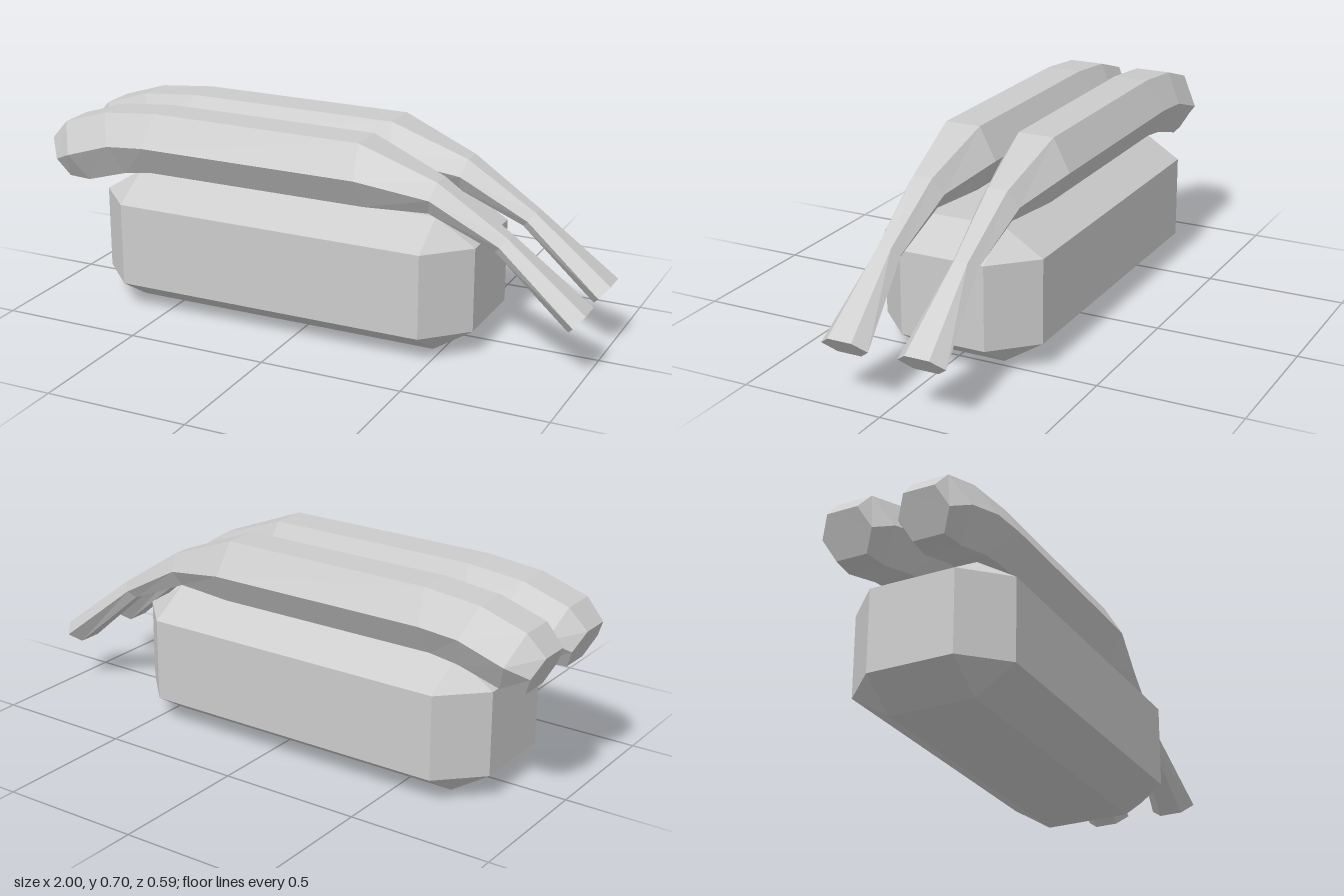
import * as THREE from 'three';
import { ConvexGeometry } from 'three/addons/geometries/ConvexGeometry.js';

const material = new THREE.MeshStandardMaterial({ color: 0xcccccc, flatShading: true });

// Block with every edge bevelled: hull of two small faces and a wide octagonal band
function bevelledBlock() {
  const points = [];
  const add = (x, y, z) => points.push(new THREE.Vector3(x, y, z), new THREE.Vector3(x, y, -z));
  for (const y of [0, 0.473]) for (const x of [-0.66, 0.47]) add(x, y, 0.153);
  for (const y of [0.09, 0.385]) {
    for (const x of [-0.66, 0.47]) add(x, y, 0.294);
    for (const x of [-0.8, 0.61]) add(x, y, 0.153);
  }
  return new ConvexGeometry(points);
}

// Stations along the strip: [top x, y], [middle x, y], [bottom x, y], ridge and middle half widths
const stations = [
  [[-1, 0.56], [-0.967, 0.493], [-0.935, 0.425], 0.055, 0.09],
  [[-0.935, 0.63], [-0.893, 0.527], [-0.848, 0.425], 0.064, 0.128],
  [[-0.77, 0.683], [-0.728, 0.58], [-0.695, 0.47], 0.064, 0.128],
  [[-0.565, 0.703], [-0.585, 0.592], [-0.59, 0.485], 0.064, 0.128],
  [[0.21, 0.703], [0.22, 0.592], [0.23, 0.485], 0.064, 0.128],
  [[0.48, 0.598], [0.465, 0.543], [0.45, 0.487], 0.035, 0.071],
  [[0.725, 0.438], [0.702, 0.412], [0.68, 0.388], 0.024, 0.046],
  [[1, 0.227], [0.972, 0.195], [0.945, 0.162], 0.043, 0.085],
];

// Hexagonal cross-sections joined into a closed strip
function hexStrip() {
  const positions = [];
  const index = [];
  for (const [top, mid, low, ridge, wide] of stations) {
    positions.push(...top, -ridge, ...top, ridge, ...mid, wide, ...low, ridge, ...low, -ridge, ...mid, -wide);
  }
  const last = (stations.length - 1) * 6;
  for (let s = 0; s < last; s += 6) {
    for (let i = 0; i < 6; i++) {
      const a = s + i, b = s + (i + 1) % 6;
      index.push(a, b, a + 6, b, b + 6, a + 6);
    }
  }
  for (let i = 1; i < 5; i++) {
    index.push(0, i + 1, i, last, last + i, last + i + 1);
  }
  const geometry = new THREE.BufferGeometry();
  geometry.setAttribute('position', new THREE.Float32BufferAttribute(positions, 3));
  geometry.setIndex(index);
  const flat = geometry.toNonIndexed();
  flat.computeVertexNormals();
  return flat;
}

export function createModel() {
  const model = new THREE.Group();
  const add = (name, geometry, z = 0) => {
    const mesh = new THREE.Mesh(geometry, material);
    mesh.name = name;
    mesh.position.z = z;
    model.add(mesh);
  };
  add('baseBlock', bevelledBlock());
  // Two matching strips draped side by side over the block
  const strip = hexStrip();
  add('frontStrip', strip, 0.137);
  add('backStrip', strip, -0.137);
  return model;
}
